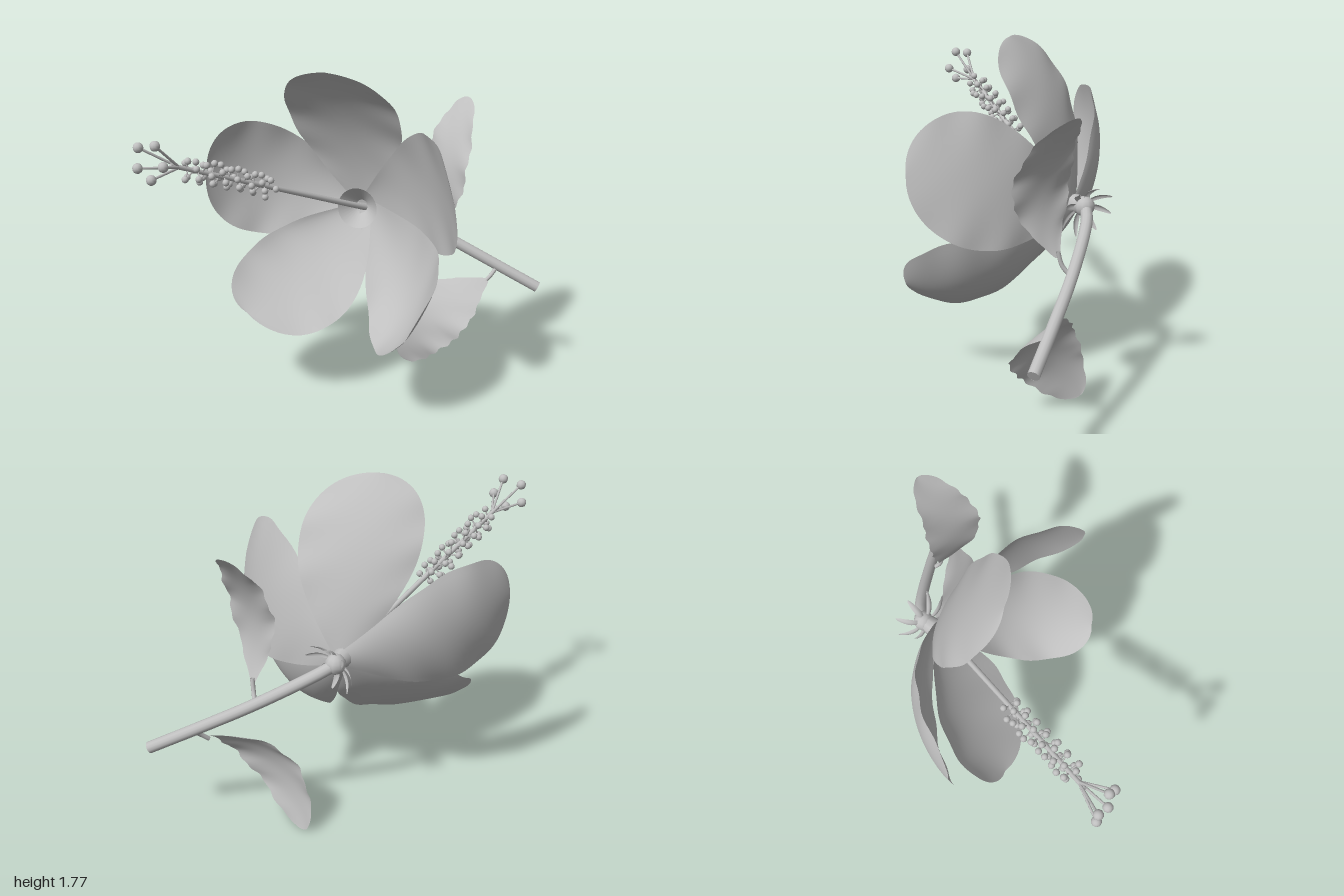
import * as THREE from 'three';

const V = (a) => new THREE.Vector3(...a);
const grey = new THREE.MeshStandardMaterial({ color: 0xbfbfbf, side: THREE.DoubleSide });
grey.name = 'plain grey';

// Curved blade: spine through base, mid (at v = m) and tip; side points set width and cupping.
function blade({ base, mid, tip, left, right, m = 0.6, foot = 0.1, blunt = 2.3, ripple = 0, teeth = 0, nu = 16, nv = 30 }) {
  const B = V(base), M = V(mid), T = V(tip);
  const ctrl = M.clone().addScaledVector(B, -((1 - m) ** 2)).addScaledVector(T, -m * m).divideScalar(2 * m * (1 - m));
  const spine = new THREE.QuadraticBezierCurve3(B, ctrl, T);
  const across = V(left).sub(V(right)).multiplyScalar(0.5);
  const cup = V(left).add(V(right)).multiplyScalar(0.5).sub(M);
  const normal = across.clone().cross(T.clone().sub(B)).normalize();
  const pos = [], index = [];
  for (let j = 0; j <= nv; j++) {
    const v = 1 - (1 - j / nv) ** 1.6;
    const p = spine.getPoint(v);
    let f = v < m
      ? foot + (1 - foot) * Math.sin((Math.PI / 2) * (v / m))
      : Math.sqrt(Math.max(0, 1 - ((v - m) / (1 - m)) ** blunt));
    f *= 1 + teeth * Math.sin(v * 55);
    for (let i = 0; i <= nu; i++) {
      const u = (2 * i) / nu - 1;
      const q = p.clone().addScaledVector(across, u * f).addScaledVector(cup, u * u * f);
      q.addScaledVector(normal, ripple * f * u * u * Math.sin(v * 22 + u * 2));
      pos.push(q.x, q.y, q.z);
      if (i < nu && j < nv) {
        const a = j * (nu + 1) + i, b = a + nu + 1;
        index.push(a, a + 1, b, a + 1, b + 1, b);
      }
    }
  }
  const g = new THREE.BufferGeometry();
  g.setAttribute('position', new THREE.Float32BufferAttribute(pos, 3));
  g.setIndex(index);
  g.computeVertexNormals();
  return g;
}

export function createModel() {
  const root = new THREE.Group();
  root.name = 'flower';
  const add = (name, geo, parent = root) => {
    const mesh = new THREE.Mesh(geo, grey);
    mesh.name = name;
    parent.add(mesh);
    return mesh;
  };
  const group = (name) => {
    const g = new THREE.Group();
    g.name = name;
    root.add(g);
    return g;
  };
  const ball = (name, p, r, parent) => add(name, new THREE.SphereGeometry(r, 10, 8), parent).position.copy(p);
  // Straight round rod between two points
  const rod = (name, a, b, r0, r1, parent, sides = 10) => {
    const d = b.clone().sub(a);
    const mesh = add(name, new THREE.CylinderGeometry(r1, r0, d.length(), sides), parent);
    mesh.position.copy(a).addScaledVector(d, 0.5);
    mesh.quaternion.setFromUnitVectors(new THREE.Vector3(0, 1, 0), d.normalize());
  };
  const tube = (name, pts, r) =>
    add(name, new THREE.TubeGeometry(new THREE.CatmullRomCurve3(pts.map(V)), 24, r, 12));

  // Petals
  const petals = {
    topPetal: { base: [0.02, 0.97, -0.37], mid: [-0.08, 1.5, -0.215], tip: [-0.15, 1.76, 0], left: [0.22, 1.48, -0.12], right: [-0.36, 1.5, -0.23] },
    rightPetal: { base: [0.02, 0.96, -0.385], mid: [-0.52, 1.12, -0.39], tip: [-0.8, 1.2, -0.2], left: [-0.5, 1.41, -0.355], right: [-0.56, 0.81, -0.29] },
    lowerRightPetal: { base: [0.02, 0.95, -0.36], mid: [-0.33, 0.64, -0.2], tip: [-0.57, 0.48, 0.04], left: [-0.55, 0.77, -0.23], right: [-0.07, 0.46, 0] },
    leftPetal: { base: [0.03, 0.97, -0.37], mid: [0.4, 1.17, 0], tip: [0.5, 1.2, 0.34], left: [0.33, 1.48, 0.05], right: [0.45, 0.83, 0.01], blunt: 1.95 },
    lowerLeftPetal: { base: [0.03, 0.95, -0.36], mid: [0.29, 0.57, 0.07], tip: [0.28, 0.54, 0.44], left: [0.43, 0.86, 0.11], right: [0.09, 0.41, 0.12], blunt: 2 },
  };
  const corolla = group('petals');
  for (const [name, p] of Object.entries(petals))
    add(name, blade({ foot: 0.16, ripple: 0.006, ...p }), corolla);

  // Open throat in the middle of the petals
  const throat = add('throat', new THREE.CylinderGeometry(0.11, 0.03, 0.08, 32, 1, true));
  throat.position.set(0, 0.962, -0.325);
  throat.quaternion.setFromUnitVectors(new THREE.Vector3(0, 1, 0), V([-0.25, 0.08, 0.96]).normalize());

  // Long pistil column
  const start = V([0.03, 0.95, -0.35]), end = V([-0.83, 1.4, 0.42]);
  const axis = end.clone().sub(start).normalize();
  const sideA = new THREE.Vector3(0, 1, 0).cross(axis).normalize();
  const sideB = axis.clone().cross(sideA);
  const radial = (a) => sideA.clone().multiplyScalar(Math.cos(a)).addScaledVector(sideB, Math.sin(a));
  rod('pistil', start, end, 0.016, 0.011);

  // Stamens spiralling round the column
  const stamens = group('stamens');
  for (let i = 0; i < 46; i++) {
    const foot = start.clone().lerp(end, 0.51 + (0.42 * i) / 45);
    const head = foot.clone().addScaledVector(radial(i * 2.4), 0.042 + 0.014 * ((i * 7) % 5) / 4).addScaledVector(axis, 0.012);
    rod('filament', foot, head, 0.004, 0.004, stamens, 5);
    ball('anther', head, 0.017, stamens);
  }

  // Five forked tips
  const stigmas = group('stigmas');
  const fork = start.clone().lerp(end, 0.96);
  for (const p of [[-0.96, 1.5, 0.48], [-0.87, 1.52, 0.52], [-0.97, 1.4, 0.48], [-0.895, 1.36, 0.53], [-0.83, 1.43, 0.55]]) {
    rod('stigmaStalk', fork, V(p), 0.007, 0.006, stigmas, 6);
    ball('stigmaTip', V(p), 0.025, stigmas);
  }

  // Calyx and its ring of narrow bracts
  ball('receptacle', V([0.06, 0.965, -0.435]), 0.052);
  rod('calyx', V([0.06, 0.965, -0.43]), V([0.025, 0.965, -0.375]), 0.04, 0.05);
  const bracts = group('bracts');
  const hub = V([0.055, 0.965, -0.42]);
  for (let i = 0; i < 8; i++) {
    const a = (i * Math.PI) / 4 + 0.2, out = radial(a), across = radial(a + Math.PI / 2);
    const at = (r, back, s) => hub.clone().addScaledVector(out, r).addScaledVector(axis, -back).addScaledVector(across, s).toArray();
    add('bract', blade({
      base: at(0.02, 0, 0), mid: at(0.09, 0.005, 0), tip: at(0.15, 0.06, 0),
      left: at(0.09, 0.013, 0.016), right: at(0.09, 0.013, -0.016), m: 0.5, foot: 0.4, blunt: 1.4, nu: 4, nv: 10,
    }), bracts);
  }

  // Stem and leaf stalks
  tube('stem', [[0.06, 0.965, -0.44], [0.15, 0.925, -0.465], [0.45, 0.765, -0.462], [0.72, 0.625, -0.435], [0.985, 0.49, -0.403]], 0.03);
  const cap = add('stemEnd', new THREE.CircleGeometry(0.03, 12));
  cap.position.set(0.985, 0.49, -0.403);
  cap.quaternion.setFromUnitVectors(new THREE.Vector3(0, 0, 1), V([0.88, -0.45, 0.11]).normalize());
  tube('upperLeafStalk', [[0.45, 0.75, -0.45], [0.455, 0.8, -0.41], [0.46, 0.87, -0.39]], 0.011);
  tube('lowerLeafStalk', [[0.76, 0.6, -0.43], [0.73, 0.56, -0.4], [0.69, 0.52, -0.38]], 0.011);

  // Toothed, pleated leaves
  const leaf = { m: 0.5, foot: 0.08, blunt: 1.7, ripple: 0.009, teeth: 0.035, nv: 48 };
  add('upperLeaf', blade({ ...leaf, base: [0.46, 0.84, -0.39], mid: [0.455, 1.19, -0.315], tip: [0.57, 1.54, -0.48], left: [0.56, 1.18, -0.195], right: [0.35, 1.22, -0.42] }));
  add('lowerLeaf', blade({ ...leaf, base: [0.7, 0.535, -0.38], mid: [0.385, 0.355, -0.315], tip: [0.225, 0, -0.47], left: [0.54, 0.26, -0.19], right: [0.29, 0.425, -0.43] }));
  return root;
}
